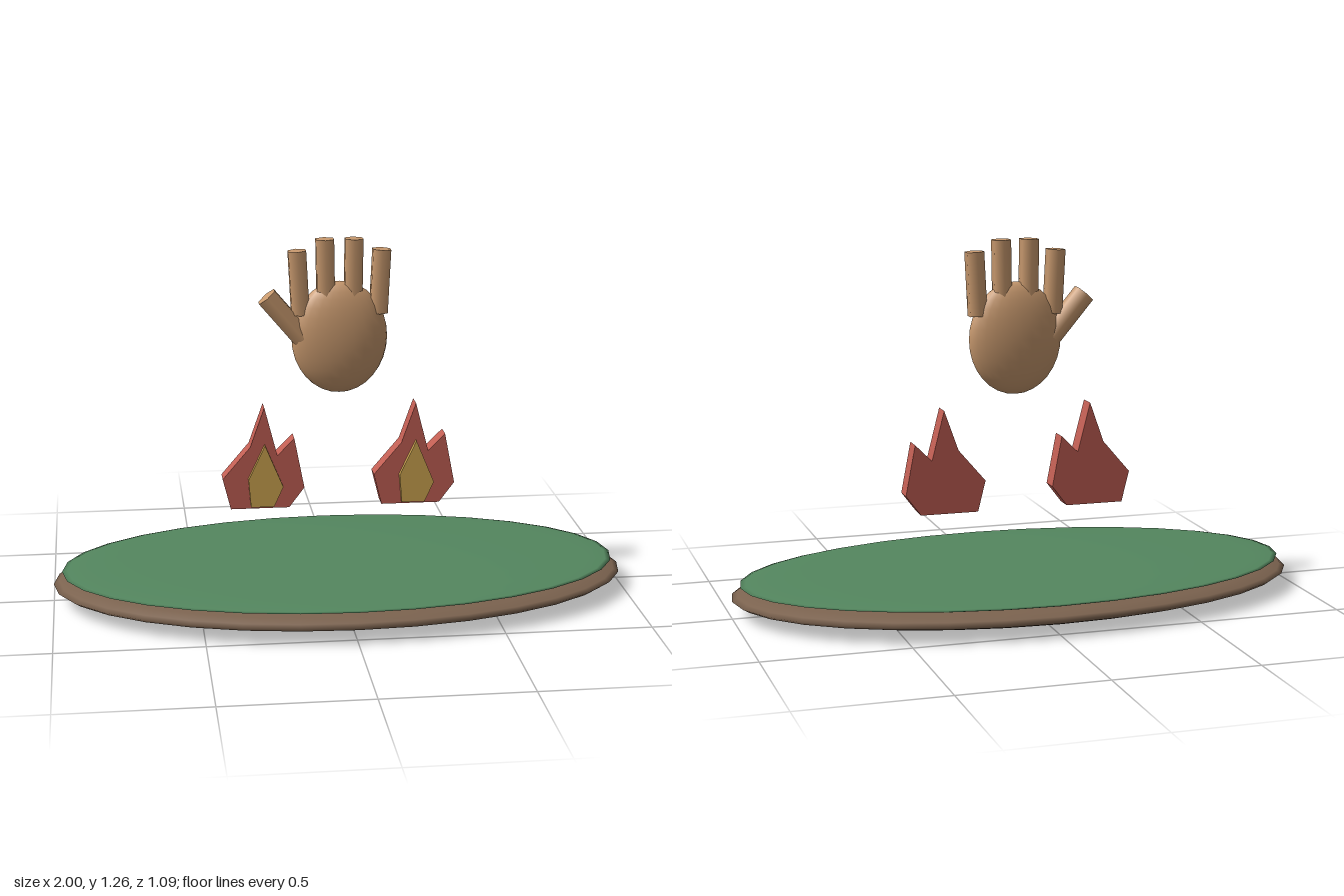
import * as THREE from 'three';

const material = (color) => new THREE.MeshStandardMaterial({ color });

export function createModel() {
  const model = new THREE.Group();
  const soil = material(0x7d6450), grass = material(0x54875f);
  const skin = material(0xc8996e), red = material(0xc25f54), yellow = material(0xcda550);

  const add = (parent, name, geometry, mat, x = 0, y = 0, z = 0) => {
    const mesh = new THREE.Mesh(geometry, mat);
    mesh.name = name;
    mesh.position.set(x, y, z);
    parent.add(mesh);
    return mesh;
  };
  const ellipsoid = (rx, ry, rz, w, h) => new THREE.SphereGeometry(1, w, h).scale(rx, ry, rz);

  // Flat oval island with a thin grass layer
  add(model, 'soil', ellipsoid(1, 0.06, 0.545, 32, 16), soil, 0, 0.06, 0);
  add(model, 'grass', ellipsoid(0.97, 0.018, 0.522, 32, 16), grass, 0, 0.104, 0);

  // Floating hand
  const hand = new THREE.Group();
  hand.name = 'hand';
  model.add(hand);
  add(hand, 'palm', ellipsoid(0.165, 0.195, 0.06, 24, 16), skin, 0, 0.915, 0);

  // Six-sided digit running down from the centre of its tip
  const digit = (name, tipX, tipY, radius, length, tilt) => {
    const geometry = new THREE.CylinderGeometry(radius, radius, length, 6).translate(0, -length / 2, 0);
    add(hand, name, geometry, skin, tipX, tipY, 0).rotation.z = tilt;
  };
  for (const side of [-1, 1]) {
    digit('innerFinger', side * 0.05, 1.255, 0.035, 0.22, side * -0.015);
    digit('outerFinger', side * 0.145, 1.217, 0.035, 0.22, side * -0.05);
  }
  digit('thumb', -0.249, 1.061, 0.04, 0.19, 0.7);

  // Two flames, each an outer slab with a glowing core on its front
  const slab = (points, depth) => new THREE.ExtrudeGeometry(
    new THREE.Shape(points.map(([x, y]) => new THREE.Vector2(x, y))),
    { depth, bevelEnabled: false });
  const outer = slab([[-0.119, 0.32], [0.084, 0.32], [0.137, 0.39], [0.103, 0.567],
    [0.044, 0.508], [0, 0.68], [-0.05, 0.54], [-0.146, 0.428]], 0.066);
  const core = slab([[-0.05, 0.33], [0.03, 0.33], [0.062, 0.4], [0, 0.55], [-0.058, 0.428]], 0.02);
  for (const x of [-0.263, 0.263]) {
    const flame = new THREE.Group();
    flame.name = 'flame';
    flame.position.x = x;
    add(flame, 'outerFlame', outer, red, 0, 0, -0.033);
    add(flame, 'flameCore', core, yellow, 0, 0, 0.033);
    model.add(flame);
  }
  return model;
}
